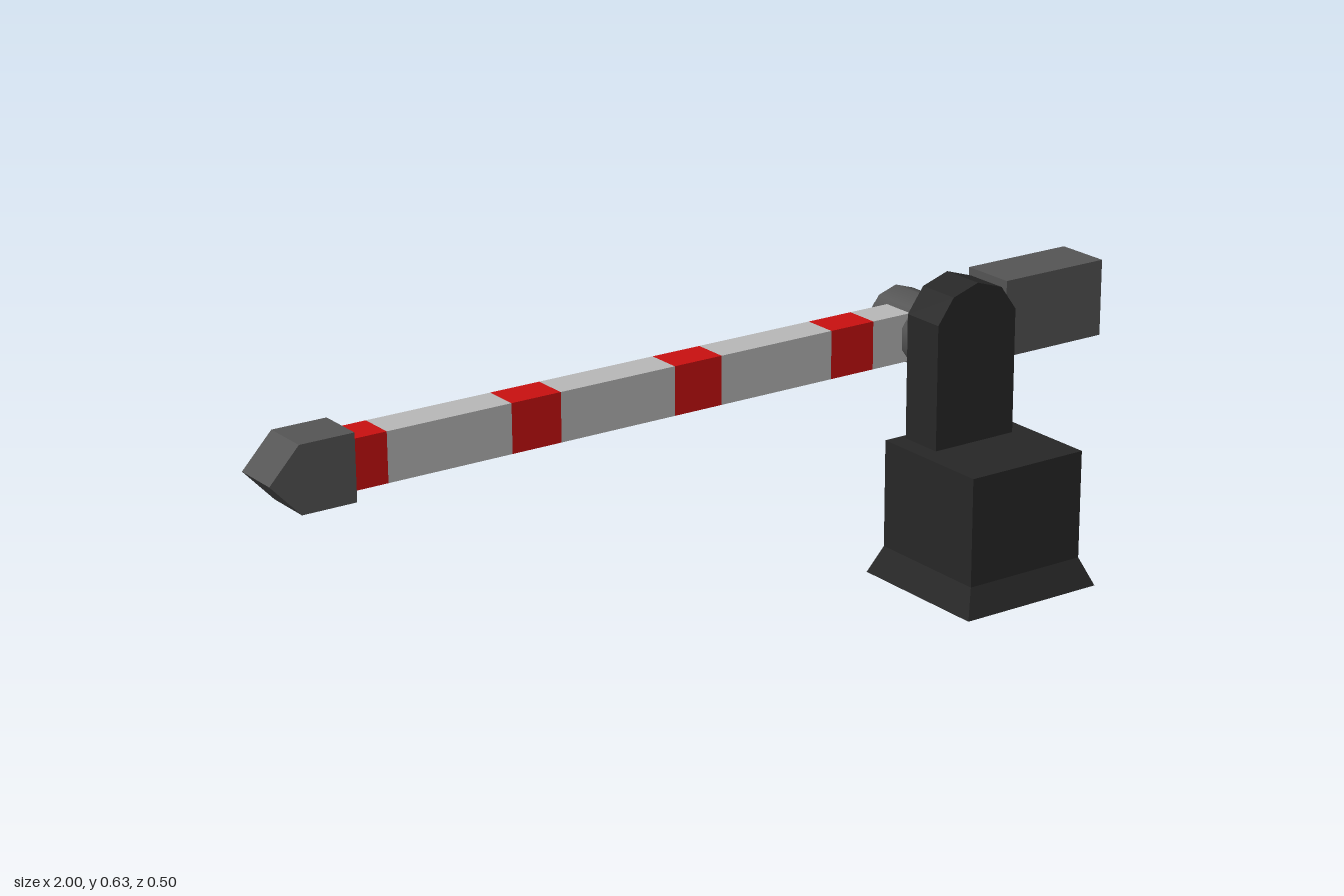
import * as THREE from 'three';

const dark = new THREE.MeshStandardMaterial({ color: 0x272727 });
dark.name = 'dark housing';
const grey = new THREE.MeshStandardMaterial({ color: 0x555555 });
grey.name = 'grey metal';
const pale = new THREE.MeshStandardMaterial({ color: 0xb9b9b9 });
pale.name = 'pale bar';
const red = new THREE.MeshStandardMaterial({ color: 0xca1010 });
red.name = 'red stripe';

const POST_X = 0.552, BASE_Z = 0.085, ARM_Y = 0.488, ARM_Z = -0.136;

export function createModel() {
  const model = new THREE.Group();
  model.name = 'barrierGate';

  const add = (name, geometry, material, x, y, z) => {
    const mesh = new THREE.Mesh(geometry, material);
    mesh.name = name;
    mesh.position.set(x, y, z);
    model.add(mesh);
  };

  // Box spanning x0..x1, centred on the arm's line
  const armBox = (name, x0, x1, height, depth, material) =>
    add(name, new THREE.BoxGeometry(x1 - x0, height, depth), material, (x0 + x1) / 2, ARM_Y, ARM_Z);

  // Side profile extruded along z, from z0 to z1
  const slab = (name, points, z0, z1, material) => {
    const shape = new THREE.Shape(points.map(([x, y]) => new THREE.Vector2(x, y)));
    add(name, new THREE.ExtrudeGeometry(shape, { depth: z1 - z0, bevelEnabled: false }), material, 0, 0, z0);
  };

  // Ten-sided shaft along z, with a corner pointing up
  const shaft = (name, radius, z0, z1) => {
    const geometry = new THREE.CylinderGeometry(radius, radius, z1 - z0, 10).rotateX(Math.PI / 2);
    add(name, geometry, grey, POST_X, ARM_Y, (z0 + z1) / 2);
  };

  // Base with a flared foot
  const foot = new THREE.CylinderGeometry(0.1425 * Math.SQRT2, 0.1675 * Math.SQRT2, 0.06, 4, 1)
    .rotateY(Math.PI / 4).toNonIndexed();
  foot.computeVertexNormals();
  add('baseFoot', foot, dark, POST_X, 0.03, BASE_Z);
  add('baseBox', new THREE.BoxGeometry(0.285, 0.233, 0.285), dark, POST_X, 0.1765, BASE_Z);

  // Upright post with a faceted round top
  const postOutline = [[POST_X - 0.101, 0.28], [POST_X + 0.101, 0.28]];
  for (let i = 2; i >= -2; i--) {
    const a = i * Math.PI / 5;
    postOutline.push([POST_X + 0.106 * Math.sin(a), 0.528 + 0.106 * Math.cos(a)]);
  }
  slab('post', postOutline, -0.043, 0.056, dark);

  // Pivot through the arm
  shaft('pivot', 0.0755, -0.211, -0.04);
  shaft('pivotCap', 0.04, -0.251, -0.2);

  // Striped arm: alternating red and pale lengths
  const cuts = [-0.83, -0.742, -0.467, -0.355, -0.088, 0.025, 0.298, 0.405, 0.677, 0.75];
  for (let i = 0; i < cuts.length - 1; i++) {
    const striped = i % 2 === 0;
    armBox(striped ? 'redStripe' : 'paleBar', cuts[i], cuts[i + 1], 0.103, 0.077, striped ? red : pale);
  }

  // Counterweight and wedge-shaped tip
  armBox('counterweight', 0.738, 1, 0.167, 0.124, grey);
  slab('armTip', [
    [-1, ARM_Y], [-0.935, ARM_Y - 0.069], [-0.818, ARM_Y - 0.069],
    [-0.818, ARM_Y + 0.069], [-0.935, ARM_Y + 0.069],
  ], ARM_Z - 0.052, ARM_Z + 0.052, grey);

  return model;
}
